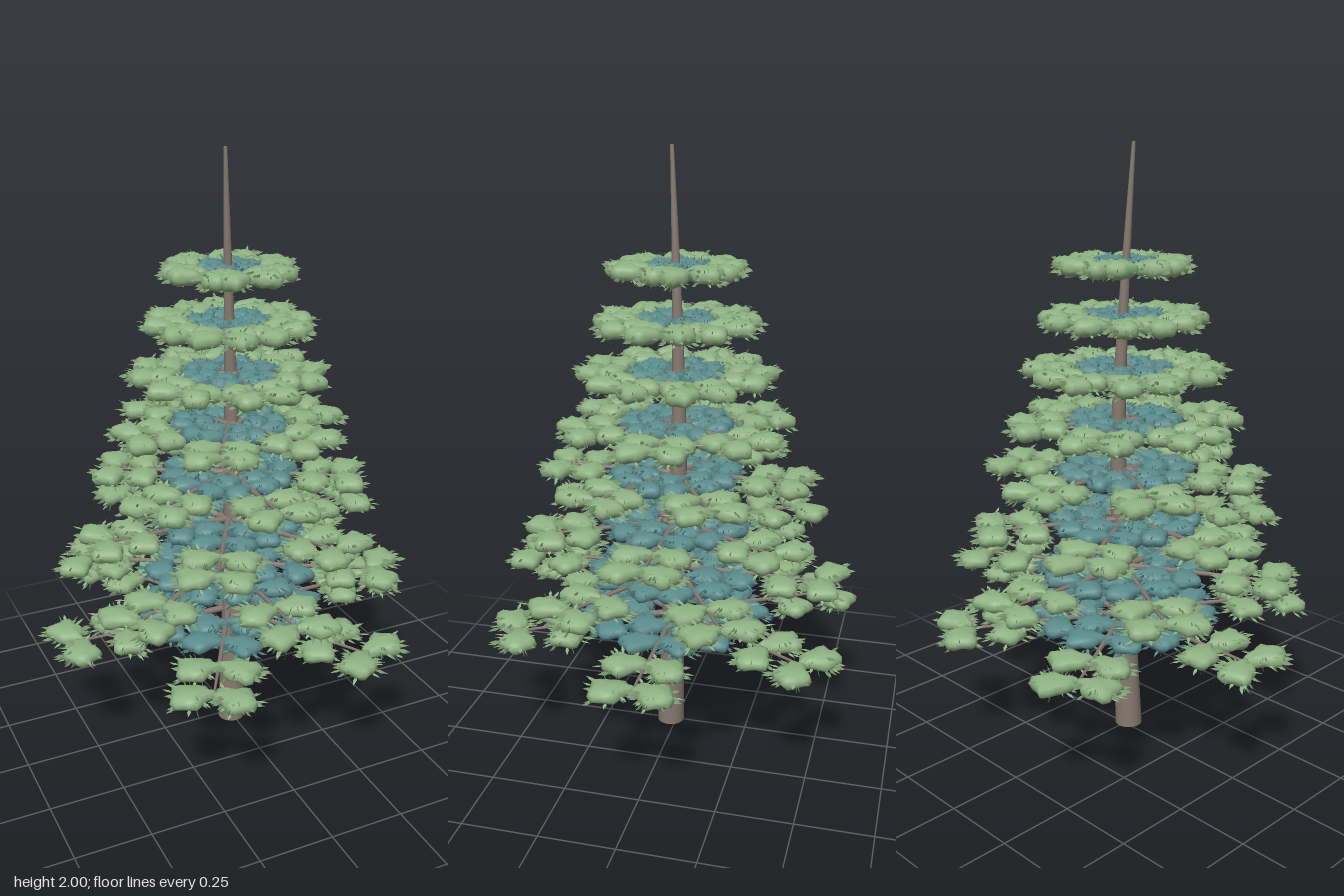
import * as THREE from 'three';
import { mergeGeometries, mergeVertices } from 'three/addons/utils/BufferGeometryUtils.js';

// small seeded generator
let seed = 7;
const rand = () => {
  seed = (seed * 16807) % 2147483647;
  return seed / 2147483647;
};
const between = (a, b) => a + (b - a) * rand();

const CLUMP_LENGTH = 0.145;
const TIER_RADII = [0.54, 0.49, 0.425, 0.37, 0.305, 0.25, 0.195, 0.145];

// surface point of a fan-shaped clump growing along +x from the origin
function clumpPoint(v, phase) {
  const angle = Math.atan2(v.z, v.x);
  const lobe = 1 + 0.13 * Math.cos(5 * angle + phase) * Math.hypot(v.x, v.z);
  const u = 0.5 + 0.5 * v.x;
  const width = 0.026 + 0.052 * u;
  const puff = Math.sign(v.y) * Math.pow(Math.abs(v.y), 0.75);
  return new THREE.Vector3(
    CLUMP_LENGTH * (0.47 + 0.5 * v.x * lobe),
    puff * (0.024 + 0.012 * u) * (0.88 + 0.14 * Math.cos(5 * angle + phase)),
    v.z * width * lobe
  );
}

// smooth lumpy body
function clumpBody(phase) {
  const raw = new THREE.IcosahedronGeometry(1, 2);
  raw.deleteAttribute('uv');
  raw.deleteAttribute('normal');
  const geo = mergeVertices(raw, 1e-4);
  const pos = geo.attributes.position;
  const v = new THREE.Vector3();
  for (let i = 0; i < pos.count; i++) {
    const p = clumpPoint(v.fromBufferAttribute(pos, i), phase);
    pos.setXYZ(i, p.x, p.y, p.z);
  }
  geo.computeVertexNormals();
  return geo;
}

// thin diamond needles standing out around the body
function clumpNeedles(phase, count) {
  const points = [];
  for (let i = 0; i < count; i++) {
    const a = between(-2.5, 2.5);
    const h = between(-0.75, 0.75);
    const r = Math.sqrt(1 - h * h);
    const dir = new THREE.Vector3(r * Math.cos(a), h, r * Math.sin(a));
    const start = clumpPoint(dir, phase);
    const out = new THREE.Vector3(dir.x, dir.y * 0.25, dir.z).normalize();
    const side = new THREE.Vector3(0, 1, 0);
    if (rand() < 0.3) side.cross(out).normalize();
    side.multiplyScalar(0.006);
    const length = between(0.03, 0.05);
    const base = start.clone().addScaledVector(out, -0.012);
    const mid = base.clone().addScaledVector(out, length * 0.5);
    const tip = base.clone().addScaledVector(out, length);
    const left = mid.clone().add(side);
    const right = mid.clone().sub(side);
    for (const p of [base, right, left, right, tip, left]) points.push(p.x, p.y, p.z);
  }
  const geo = new THREE.BufferGeometry();
  geo.setAttribute('position', new THREE.Float32BufferAttribute(points, 3));
  geo.computeVertexNormals();
  return geo;
}

export function createModel() {
  seed = 7;
  const bark = new THREE.MeshStandardMaterial({ color: 0x85796f });
  bark.name = 'bark';
  const green = new THREE.MeshStandardMaterial({ color: 0x8fb283, side: THREE.DoubleSide });
  green.name = 'leaf green';
  const teal = new THREE.MeshStandardMaterial({ color: 0x5c8c8c, side: THREE.DoubleSide });
  teal.name = 'inner teal';

  const tree = new THREE.Group();
  tree.name = 'coniferTree';
  const add = (parent, name, geo, material) => {
    const mesh = new THREE.Mesh(geo, material);
    mesh.name = name;
    parent.add(mesh);
  };

  // gently bent, tapering trunk
  const bend = new THREE.CatmullRomCurve3([
    [0, 0, 0.02], [0.012, 0.5, 0.008], [0.018, 1, -0.012], [0.002, 1.5, -0.002], [-0.02, 2, 0.02],
  ].map((p) => new THREE.Vector3(...p)));
  const trunk = new THREE.CylinderGeometry(0.006, 0.047, 2, 20, 24);
  trunk.translate(0, 1, 0);
  const tp = trunk.attributes.position;
  for (let i = 0; i < tp.count; i++) {
    const c = bend.getPoint(Math.min(1, Math.max(0, tp.getY(i) / 2)));
    tp.setX(i, tp.getX(i) + c.x);
    tp.setZ(i, tp.getZ(i) + c.z);
  }
  trunk.computeVertexNormals();
  add(tree, 'trunk', trunk, bark);

  // a few clump variants reused everywhere
  const variants = [0, 1.6, 3.1, 4.7].map((phase) => ({
    body: clumpBody(phase),
    needles: clumpNeedles(phase, 26),
  }));

  TIER_RADII.forEach((radius, t) => {
    const tier = new THREE.Group();
    tier.name = `tier${t + 1}`;
    tier.position.y = 0.43 + t * 0.1705;
    tree.add(tier);

    const parts = { branch: [], outerBody: [], outerNeedles: [], innerBody: [], innerNeedles: [] };
    const size = 0.65 + 0.35 * (radius / 0.54);

    for (let b = 0; b < 6; b++) {
      const heading = (b * Math.PI) / 3 + (t % 2) * (Math.PI / 6);

      // horizontal branch
      const branch = new THREE.CylinderGeometry(0.004, 0.012, radius, 7);
      branch.rotateZ(-Math.PI / 2);
      branch.translate(radius / 2, 0, 0);
      branch.rotateY(heading);
      parts.branch.push(branch);

      // mirrored clumps at each node, teal near the trunk and green outside
      [1, 0.71, 0.42, 0.2].forEach((f, n) => {
        const outer = n < 2;
        const scale = outer ? size : size * (0.45 + 0.5 * (radius / 0.54));
        for (const s of [-1, 1]) {
          const variant = variants[Math.floor(rand() * variants.length)];
          const turn = s * between(1.1, 1.35);
          const matrix = new THREE.Matrix4().makeRotationY(heading)
            .multiply(new THREE.Matrix4().makeTranslation(f * radius, between(-0.002, 0.002), 0))
            .multiply(new THREE.Matrix4().makeRotationY(turn))
            .multiply(new THREE.Matrix4().makeScale(scale, outer ? 1 : 0.9, scale));
          const key = outer ? 'outer' : 'inner';
          parts[key + 'Body'].push(variant.body.clone().applyMatrix4(matrix));
          parts[key + 'Needles'].push(variant.needles.clone().applyMatrix4(matrix));
        }
      });
    }

    add(tier, 'branches', mergeGeometries(parts.branch), bark);
    add(tier, 'outerFoliage', mergeGeometries(parts.outerBody), green);
    add(tier, 'outerNeedles', mergeGeometries(parts.outerNeedles), green);
    add(tier, 'innerFoliage', mergeGeometries(parts.innerBody), teal);
    add(tier, 'innerNeedles', mergeGeometries(parts.innerNeedles), teal);
  });

  return tree;
}
